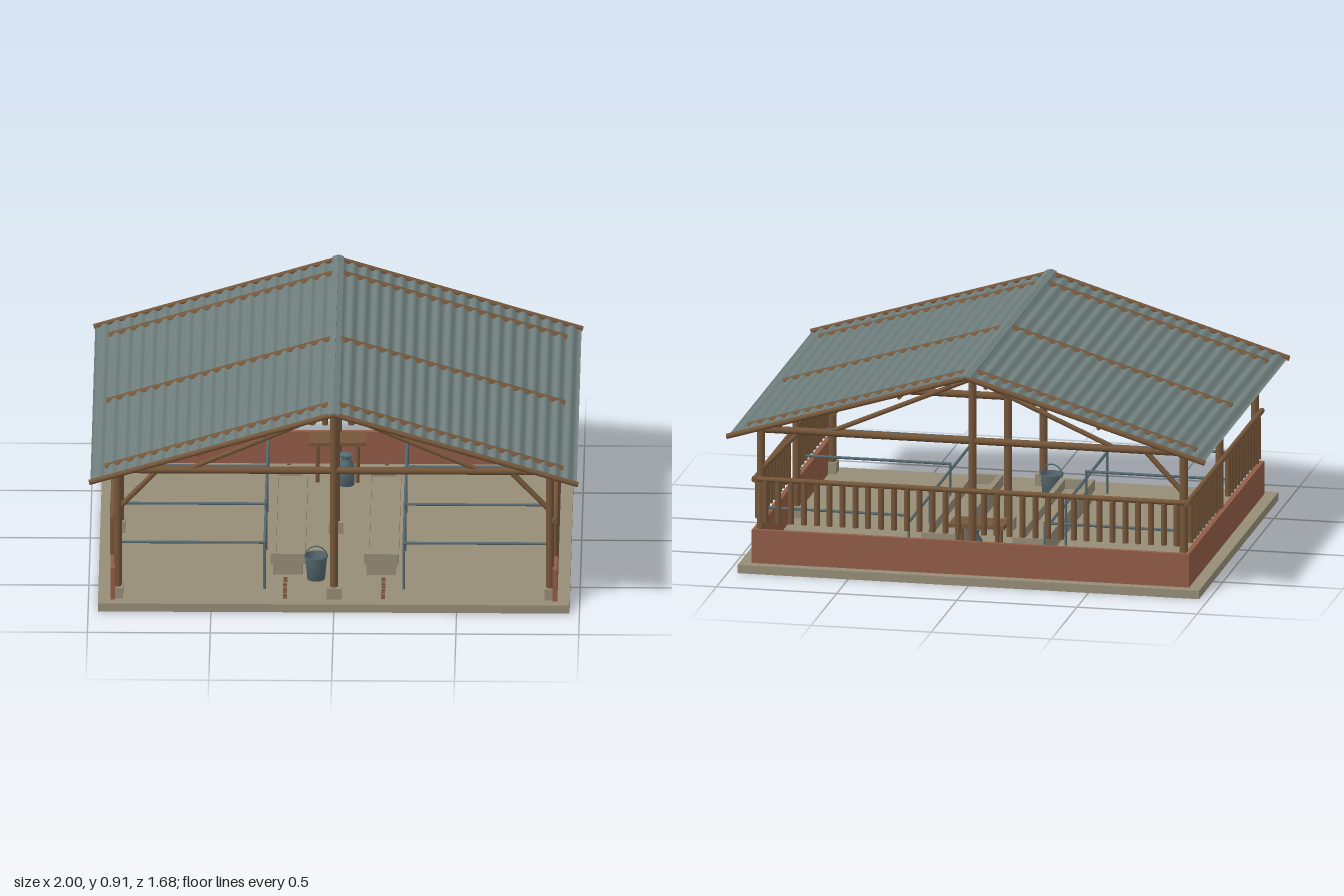
import * as THREE from 'three';

const mat = (name, color) => {
  const m = new THREE.MeshStandardMaterial({ color });
  m.name = name;
  return m;
};

export function createModel() {
  const wood = mat('brown timber', 0x755639);
  const roofing = mat('grey green sheet', 0x6f7f7d);
  roofing.side = THREE.DoubleSide;
  const brick = mat('red brick', 0x925c47);
  const concrete = mat('pale concrete', 0x968d78);
  const steel = mat('blue grey steel', 0x566a71);
  steel.side = THREE.DoubleSide;

  const model = new THREE.Group();
  model.name = 'openBarn';
  const add = (name, geometry, material, x = 0, y = 0, z = 0) => {
    const mesh = new THREE.Mesh(geometry, material);
    mesh.name = name;
    mesh.position.set(x, y, z);
    model.add(mesh);
    return mesh;
  };
  // Box given by its limits on each axis
  const block = (name, material, x0, x1, y0, y1, z0, z1) =>
    add(name, new THREE.BoxGeometry(x1 - x0, y1 - y0, z1 - z0), material,
      (x0 + x1) / 2, (y0 + y1) / 2, (z0 + z1) / 2);
  // Round pole between two points
  const up = new THREE.Vector3(0, 1, 0);
  const pole = (name, material, a, b, r, sides = 10) => {
    const p = new THREE.Vector3(...a), d = new THREE.Vector3(...b).sub(p);
    const mesh = add(name, new THREE.CylinderGeometry(r, r, d.length(), sides), material);
    mesh.position.copy(p).addScaledVector(d, 0.5);
    mesh.quaternion.setFromUnitVectors(up, d.normalize());
    return mesh;
  };

  const FLOOR = 0.035, RIDGE = 0.892, SLOPE = 0.305;
  const roofY = x => RIDGE - SLOPE * Math.abs(x);

  // Floor slab and low walls on three sides
  block('floorSlab', concrete, -0.96, 0.96, 0, FLOOR, -0.777, 0.777);
  block('backWall', brick, -0.91, 0.91, FLOOR, 0.175, -0.735, -0.715);
  for (const s of [-1, 1])
    block('sideWall', brick, s * 0.9 - 0.01, s * 0.9 + 0.01, FLOOR, 0.175, -0.735, 0.735);

  // Three timber frames with posts, footings and trusses
  for (const z of [-0.695, 0, 0.695]) {
    for (const x of [-0.88, 0, 0.88]) {
      const w = x ? 0.022 : 0.03;
      block('postFooting', concrete, x - w, x + w, FLOOR, 0.083, z - 0.03, z + 0.03);
      pole('post', wood, [x, 0.05, z], [x, x ? 0.6 : 0.88, z], 0.017);
    }
    pole('tieBeam', wood, [-0.91, 0.592, z], [0.91, 0.592, z], 0.015);
    for (const s of [-1, 1]) {
      pole('rafter', wood, [s * 0.93, roofY(0.93) - 0.009, z], [0, RIDGE - 0.009, z], 0.017);
      pole('trussStrut', wood, [s * 0.59, 0.597, z], [0, 0.855, z], 0.01);
      pole('kneeBrace', wood, [s * 0.875, 0.425, z], [s * 0.72, 0.59, z], 0.011);
    }
  }

  // Roof: wall plates, purlins, corrugated sheets and gable poles
  for (const s of [-1, 1]) {
    pole('wallPlate', wood, [s * 0.88, 0.59, -0.72], [s * 0.88, 0.59, 0.72], 0.014);
    for (const x of [0.08, 0.28, 0.55, 0.78])
      pole('purlin', wood, [s * x, roofY(x) - 0.016, -0.815], [s * x, roofY(x) - 0.016, 0.815], 0.009, 8);
    for (const z of [-0.825, 0.825])
      pole('gablePole', wood, [s * 0.995, roofY(0.995), z], [0, RIDGE, z], 0.011);

    const sheet = new THREE.PlaneGeometry(0.99, 1.63, 160, 1).rotateX(-Math.PI / 2);
    const pos = sheet.attributes.position;
    for (let i = 0; i < pos.count; i++) {
      const x = pos.getX(i) + s * 0.495;
      pos.setX(i, x);
      pos.setY(i, roofY(x) + 0.006 * Math.sin(Math.abs(x) / 0.99 * 20 * Math.PI * 2));
    }
    sheet.computeVertexNormals();
    add('roofSheet', sheet, roofing);

    const cap = block('ridgeCap', roofing, -0.012, 0.012, -0.003, 0.003, -0.84, 0.84);
    cap.position.set(s * 0.011, RIDGE + 0.007, 0);
    cap.rotation.z = -s * Math.atan(SLOPE);
  }

  // Railing with hanging pickets
  const picket = (x, z) => pole('picket', wood, [x, 0.205, z], [x, 0.38, z], 0.0125, 8);
  pole('backRail', wood, [-0.91, 0.387, -0.722], [0.91, 0.387, -0.722], 0.011);
  for (let i = -16; i <= 16; i++) if (i) picket(i * 0.0535, -0.722);
  for (const s of [-1, 1]) {
    pole('sideRail', wood, [s * 0.9, 0.387, -0.735], [s * 0.9, 0.387, 0.735], 0.012);
    for (let i = -11; i <= 11; i++) if (i) picket(s * 0.9, i * 0.0585 + 0.012 * Math.sign(i));
  }

  for (const s of [-1, 1]) {
    // Stall partitions of steel pipe
    for (const z of [-0.61, -0.2, 0.2, 0.61]) {
      pole('stallPost', steel, [s * 0.283, FLOOR, z], [s * 0.283, 0.243, z], 0.006, 8);
      pole('stallBar', steel, [s * 0.283, 0.238, z], [s * 0.885, 0.238, z], 0.006, 8);
    }
    pole('neckRail', steel, [s * 0.283, 0.21, -0.62], [s * 0.283, 0.21, 0.62], 0.006, 8);

    // Feeding trough with open top
    const x = s * 0.19;
    block('troughBase', concrete, x - 0.06, x + 0.06, FLOOR, 0.09, -0.46, 0.46);
    for (const t of [-1, 1]) {
      block('troughSide', concrete, x + t * 0.06 - 0.011, x + t * 0.06 + 0.011, 0.085, 0.13, -0.47, 0.47);
      block('troughEnd', concrete, x - 0.05, x + 0.05, 0.085, 0.13, t * 0.459 - 0.011, t * 0.459 + 0.011);
    }

    // Slatted drain strip in the floor
    for (let i = 0; i < 8; i++)
      for (const t of [-1, 1])
        block('drainSlat', wood, s * 0.2 - 0.008, s * 0.2 + 0.008, FLOOR, FLOOR + 0.004,
          t * (0.505 + i * 0.029) - 0.009, t * (0.505 + i * 0.029) + 0.009);
  }

  // Bucket with wire handle
  const lathe = pts => new THREE.LatheGeometry(pts.map(p => new THREE.Vector2(...p)), 20);
  add('bucket', lathe([[0, 0], [0.036, 0], [0.045, 0.095], [0.049, 0.097], [0.049, 0.103],
    [0.043, 0.103], [0.034, 0.006], [0, 0.006]]), steel, -0.075, FLOOR, 0.5);
  add('bucketHandle', new THREE.TorusGeometry(0.044, 0.003, 6, 20, Math.PI), steel, -0.075, 0.132, 0.5);

  // Milk can
  add('milkCan', lathe([[0, 0], [0.034, 0], [0.034, 0.085], [0.02, 0.107], [0.02, 0.122],
    [0.027, 0.125], [0.027, 0.135], [0, 0.137]]), steel, 0.035, FLOOR, -0.5);

  // Work table near the back
  block('tableTop', wood, -0.115, 0.115, 0.2, 0.216, -0.62, -0.5);
  for (const x of [-0.082, 0.082])
    for (const z of [-0.6, -0.52])
      pole('tableLeg', wood, [x, FLOOR, z], [x, 0.203, z], 0.008, 8);

  return model;
}
